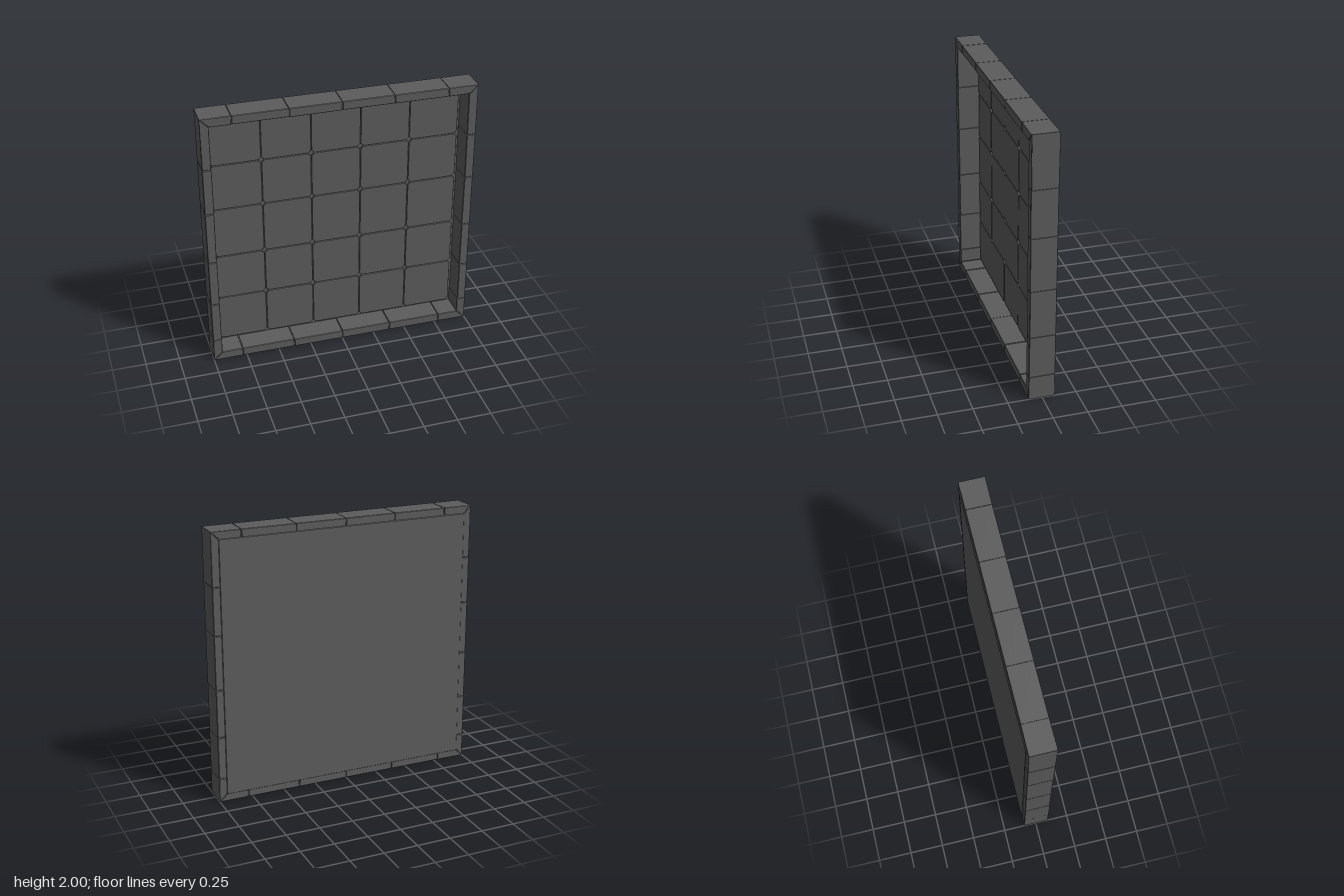
import * as THREE from 'three';

const stone = new THREE.MeshStandardMaterial({ color: 0x5c5c5d });
stone.name = 'dark stone';

// small seeded generator for worn edges
let seed = 7;
const wear = (amount) => {
  seed = (seed * 16807) % 2147483647;
  return (seed / 2147483647) * amount;
};

// slab with softened edges, from an outline in x/y and a z range
function slab(name, points, z0, z1, bevel, holePoints) {
  const shape = new THREE.Shape(points.map(([x, y]) => new THREE.Vector2(x, y)));
  if (holePoints) shape.holes.push(new THREE.Path(holePoints.map(([x, y]) => new THREE.Vector2(x, y))));
  const geometry = new THREE.ExtrudeGeometry(shape, {
    depth: z1 - z0 - 2 * bevel,
    bevelEnabled: bevel > 0,
    bevelSize: bevel,
    bevelThickness: bevel,
    bevelOffset: -bevel,
    bevelSegments: 1,
  });
  geometry.translate(0, 0, z0 + bevel);
  const mesh = new THREE.Mesh(geometry, stone);
  mesh.name = name;
  return mesh;
}

const rect = (x0, y0, x1, y1) => [[x0, y0], [x1, y0], [x1, y1], [x0, y1]];

export function createModel() {
  seed = 7;
  const model = new THREE.Group();
  model.name = 'tiledTray';

  const rim = 0.063;
  const gap = 0.002;
  const back = -0.093;
  const front = 0.099;

  // back panel and the solid core seen inside the joints
  model.add(slab('backPanel', rect(-0.945, 0.055, 0.945, 1.945), -0.099, -0.076, 0.003));
  model.add(slab('frameCore', rect(-0.994, 0.006, 0.994, 1.994), -0.087, 0.093, 0,
    rect(-0.943, 0.057, 0.943, 1.943)));

  // frame of worn blocks, mitred at the corners
  const frame = new THREE.Group();
  frame.name = 'frame';
  const acrossJoints = [-1, -0.78, -0.38, 0, 0.38, 0.78, 1];
  const uprightJoints = [-1, -0.82, -0.5, -0.14, 0.26, 0.61, 1];
  const sides = [
    ['bottomBlock', acrossJoints, (a, d) => [a, d]],
    ['topBlock', acrossJoints, (a, d) => [a, 2 - d]],
    ['leftBlock', uprightJoints, (a, d) => [1 - d, a + 1]],
    ['rightBlock', uprightJoints, (a, d) => [d - 1, a + 1]],
  ];
  for (const [name, joints, place] of sides) {
    for (let i = 0; i < joints.length - 1; i++) {
      const isFirst = i === 0;
      const isLast = i === joints.length - 2;
      const a = joints[i] + (isFirst ? 0.001 : gap);
      const b = joints[i + 1] - (isLast ? 0.001 : gap);
      const depthA = rim + wear(0.004);
      const depthB = rim + wear(0.004);
      const outline = [
        place(a, wear(0.001)),
        place(b, wear(0.001)),
        place(isLast ? b - depthB - gap : b - wear(0.003), depthB),
        place(isFirst ? a + depthA + gap : a + wear(0.003), depthA),
      ];
      frame.add(slab(name, outline, back, front - wear(0.003), 0.003));
    }
  }
  model.add(frame);

  // five by five floor tiles with clipped corners
  const floor = new THREE.Group();
  floor.name = 'floorTiles';
  const columns = [-0.922, -0.55, -0.185, 0.182, 0.55, 0.922];
  const rows = [0.074, 0.44, 0.8, 1.195, 1.55, 1.924];
  const clip = 0.02;
  for (let i = 0; i < 5; i++) {
    for (let j = 0; j < 5; j++) {
      const x0 = columns[i] + gap;
      const x1 = columns[i + 1] - gap;
      const y0 = rows[j] + gap;
      const y1 = rows[j + 1] - gap;
      floor.add(slab('floorTile', [
        [x0 + clip, y0], [x1 - clip, y0], [x1, y0 + clip], [x1, y1 - clip],
        [x1 - clip, y1], [x0 + clip, y1], [x0, y1 - clip], [x0, y0 + clip],
      ], -0.078, -0.063 - wear(0.002), 0.002));
    }
  }
  model.add(floor);

  return model;
}
